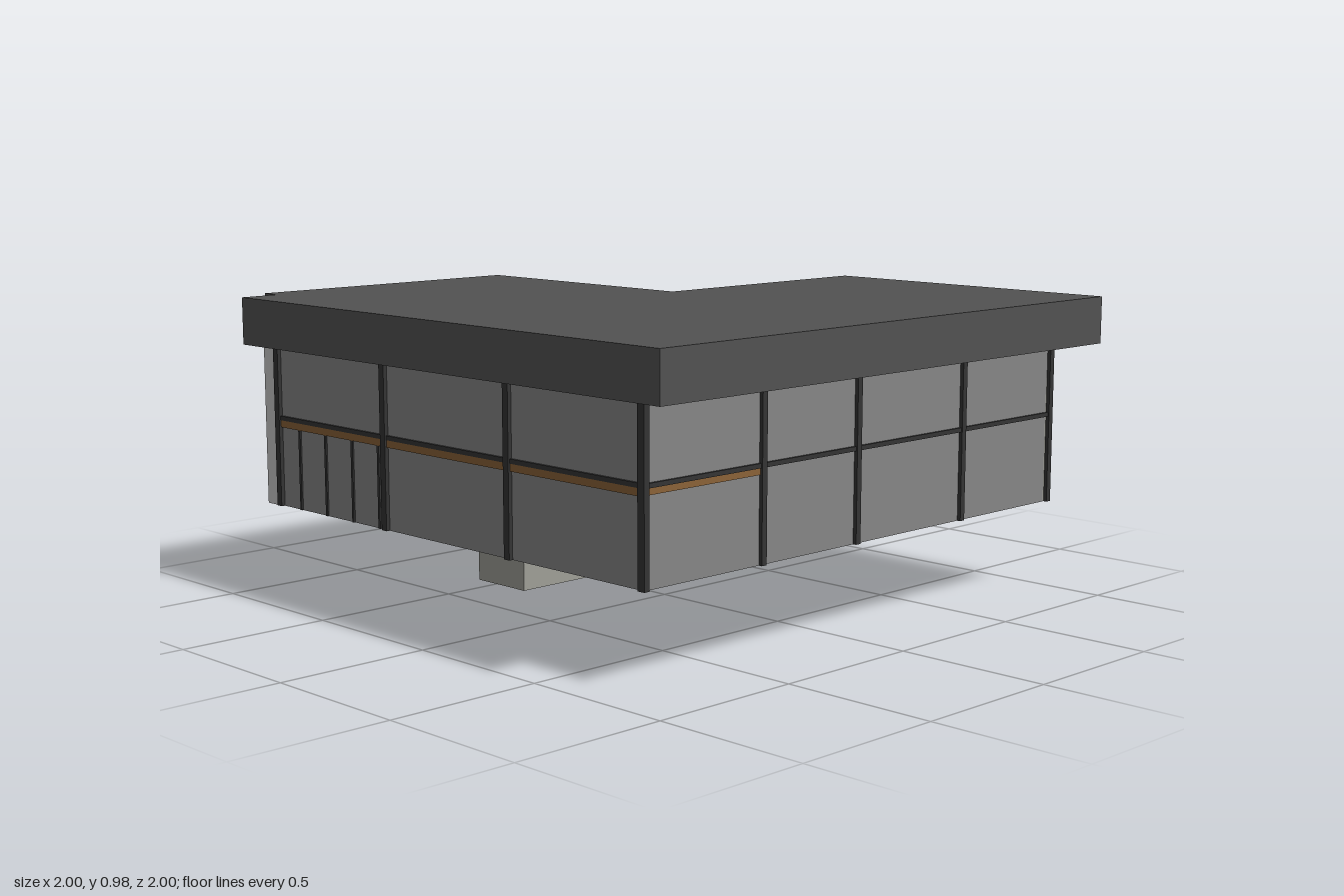
import * as THREE from 'three';

export function createModel() {
  const model = new THREE.Group();
  const paint = (color) => new THREE.MeshStandardMaterial({ color });
  const white = paint(0xcccccc), beige = paint(0x9e9e96), glass = paint(0x868686);
  const roofDark = paint(0x525252), frame = paint(0x343434), wood = paint(0x8a6238);
  const blue = paint(0xa3c4d6), slate = paint(0x54687c);

  // box given by its lower and upper bounds on each axis
  function box(name, mat, x0, x1, y0, y1, z0, z1, parent = model) {
    const mesh = new THREE.Mesh(new THREE.BoxGeometry(x1 - x0, y1 - y0, z1 - z0), mat);
    mesh.position.set((x0 + x1) / 2, (y0 + y1) / 2, (z0 + z1) / 2);
    mesh.name = name;
    parent.add(mesh);
    return mesh;
  }

  // upright prism from a plan outline of [x, z] points
  function slab(name, mat, plan, y0, y1) {
    const shape = new THREE.Shape(plan.map(([x, z]) => new THREE.Vector2(x, -z)));
    const geo = new THREE.ExtrudeGeometry(shape, { depth: y1 - y0, bevelEnabled: false });
    geo.rotateX(-Math.PI / 2);
    const mesh = new THREE.Mesh(geo, mat);
    mesh.position.y = y0;
    mesh.name = name;
    model.add(mesh);
  }

  function group(name) {
    const g = new THREE.Group();
    g.name = name;
    model.add(g);
    return g;
  }

  const base = 0.29, eave = 0.83, rail = 0.58;

  // L-shaped house body, recessed behind the glazed sides
  slab('walls', white, [[-0.85, 0.79], [0.965, 0.79], [0.965, -0.08], [0.12, -0.08],
    [0.12, -0.97], [-0.87, -0.97], [-0.87, -0.9], [-0.85, -0.9]], base, eave - 0.005);
  // dark capping along the wall tops
  slab('wallCap', frame, [[-0.87, 0.805], [0.985, 0.805], [0.985, -0.085], [0.123, -0.085],
    [0.123, -0.97], [-0.87, -0.97]], eave - 0.005, eave);
  // flat roof with deep fascia, overhanging the front and right
  slab('roof', roofDark, [[-1, 1], [0.967, 1], [0.967, -0.075], [0.11, -0.075],
    [0.11, -0.955], [-0.87, -0.955], [-0.87, -0.89], [-1, -0.89]], eave, 0.98);

  // front glazing
  const front = group('frontGlazing');
  box('frontGlass', glass, -0.865, 0.975, base, eave, 0.785, 0.8, front);
  for (const x of [-0.865, -0.4, 0.012, 0.515, 0.975])
    box('frontMullion', frame, x - 0.01, x + 0.01, base, eave, 0.785, 0.812, front);
  for (const y of [rail, eave - 0.008])
    box('frontRail', frame, -0.865, 0.975, y - 0.007, y + 0.007, 0.785, 0.808, front);
  box('frontLedge', wood, -0.855, -0.41, 0.553, 0.574, 0.79, 0.803, front);

  // side glazing with a long timber ledge
  const side = group('sideGlazing');
  box('sideGlass', glass, -0.862, -0.845, base, eave, -0.9, 0.8, side);
  for (const z of [-0.9, -0.34, 0.24])
    box('sideMullion', frame, -0.875, -0.845, base, eave, z - 0.012, z + 0.012, side);
  box('sideRail', frame, -0.87, -0.845, rail - 0.007, rail + 0.007, -0.9, 0.8, side);
  box('sideLedge', wood, -0.868, -0.845, 0.55, 0.574, -0.89, 0.795, side);
  for (const z of [-0.79, -0.65, -0.51, -0.375])
    box('sideBar', frame, -0.867, -0.845, base, 0.55, z - 0.005, z + 0.005, side);

  // entrance wall with its door fittings
  const entry = group('entranceWall');
  box('entrancePanel', beige, 0.96, 0.98, base, eave, -0.075, 0.8, entry);
  box('entranceMullion', frame, 0.96, 0.985, base, eave, 0.243, 0.259, entry);
  box('doorPull', beige, 0.98, 0.996, 0.42, 0.64, -0.035, -0.025, entry);
  box('doorPullFoot', beige, 0.98, 0.99, 0.41, 0.42, -0.035, 0.04, entry);
  box('doorPlate', blue, 0.98, 0.992, 0.46, 0.58, 0.003, 0.022, entry);
  box('lockPin', frame, 0.98, 1, 0.527, 0.535, 0.028, 0.036, entry);
  box('doorSign', slate, 0.98, 0.995, 0.33, 0.42, 0.112, 0.122, entry);
  for (const y of [0.43, 0.69]) {
    const hinge = new THREE.Mesh(new THREE.CylinderGeometry(0.008, 0.008, 0.035, 10), white);
    hinge.position.set(0.975, y, -0.082);
    hinge.name = 'hinge';
    entry.add(hinge);
  }

  // slim fin on the rear wall
  box('rearFin', white, -0.47, -0.458, base, rail, -1, -0.965);

  // underside: dark recess, partition footings and the pedestal
  box('floorRecess', paint(0x4a4a4a), -0.48, 0.115, base - 0.003, base + 0.01, -0.965, -0.68);
  box('crossFooting', white, 0.12, 0.96, base - 0.002, base + 0.01, 0.1, 0.125);
  box('rearFooting', white, -0.49, -0.465, base - 0.002, base + 0.01, -0.93, -0.42);
  box('pedestal', beige, -0.295, 0, 0, base, -0.59, -0.36);

  return model;
}
